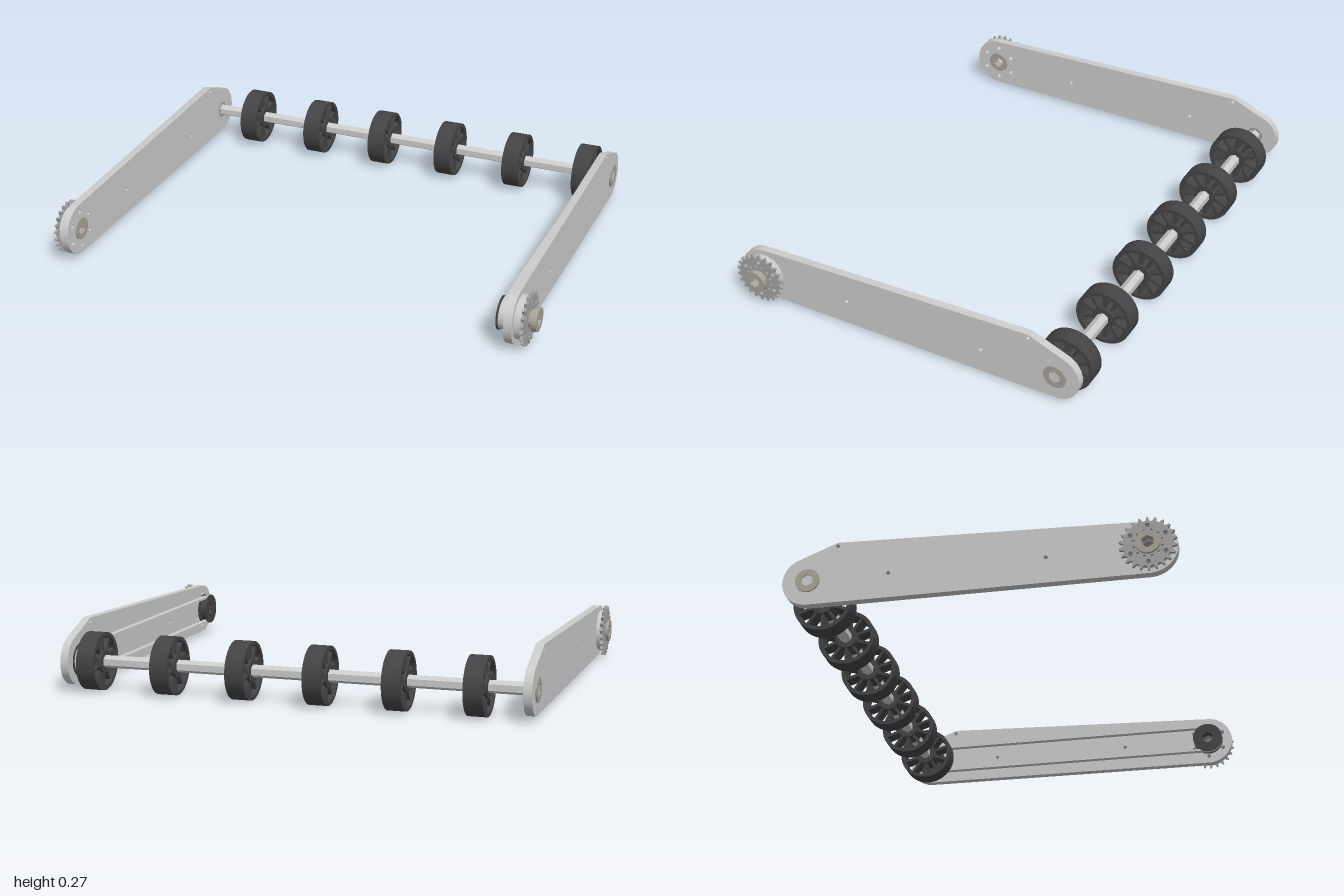
import * as THREE from 'three';
import { toCreasedNormals } from 'three/addons/utils/BufferGeometryUtils.js';

const CY = 0.12, FRONT_Z = 0.645, REAR_Z = -0.642, HEX_R = 0.025;
const mat = (color) => new THREE.MeshStandardMaterial({ color });

// circle, hexagon and hole helpers, drawn in the (z, y) plane
const disc = (r, x = 0, y = 0, Type = THREE.Shape) => new Type().absarc(x, y, r, 0, Math.PI * 2);
const hole = (r, x = 0, y = 0) => disc(r, x, y, THREE.Path);
function hexagon(r, Type = THREE.Shape, x = 0, y = 0) {
  const pts = [];
  for (let i = 0; i < 6; i++) {
    const a = (i + 0.5) * Math.PI / 3;
    pts.push(new THREE.Vector2(x + r * Math.cos(a), y + r * Math.sin(a)));
  }
  return new Type(pts);
}
function ringHoles(shape, n, r, size, x = 0, y = 0) {
  for (let i = 0; i < n; i++) {
    const a = (i + 0.5) * Math.PI * 2 / n;
    shape.holes.push(hole(size, x + r * Math.cos(a), y + r * Math.sin(a)));
  }
  return shape;
}

// extrude a (z, y) profile along x from x0 to x1
function slab(name, shape, x0, x1, material, z = 0, y = 0) {
  const raw = new THREE.ExtrudeGeometry(shape, { depth: x1 - x0, bevelEnabled: false, curveSegments: 20 });
  raw.rotateY(-Math.PI / 2);
  raw.translate(x1, y, z);
  const mesh = new THREE.Mesh(toCreasedNormals(raw, 0.5), material);
  mesh.name = name;
  return mesh;
}

function bored(r, bore = HEX_R) {
  const s = disc(r);
  s.holes.push(hexagon(bore, THREE.Path));
  return s;
}

// arm plate: round front end, rising top edge with a peak near the rear
function plateShape() {
  const s = new THREE.Shape();
  s.moveTo(-0.53, 0.27);
  s.lineTo(REAR_Z - 0.045, CY + 0.088);
  s.absarc(REAR_Z, CY, 0.099, Math.PI * 0.65, Math.PI * 1.5, false);
  s.absarc(FRONT_Z, CY, 0.106, Math.PI * 1.5, Math.PI * 2.5, false);
  s.closePath();
  for (const [z, y] of [[0.265, CY], [-0.33, CY], [-0.53, 0.255]]) s.holes.push(hole(0.008, z, y));
  s.holes.push(hole(0.035, FRONT_Z, CY), hole(0.035, REAR_Z, CY));
  return ringHoles(s, 6, 0.074, 0.009, FRONT_Z, CY);
}

function sprocketShape() {
  const teeth = 22, pts = [];
  for (let i = 0; i < teeth; i++) {
    for (const [f, r] of [[0, 0.09], [0.22, 0.092], [0.42, 0.107], [0.58, 0.107], [0.78, 0.092]]) {
      const a = (i + f) * Math.PI * 2 / teeth;
      pts.push(new THREE.Vector2(r * Math.cos(a), r * Math.sin(a)));
    }
  }
  const s = new THREE.Shape(pts);
  s.holes.push(hexagon(HEX_R, THREE.Path));
  ringHoles(s, 12, 0.054, 0.005);
  return ringHoles(s, 6, 0.074, 0.009);
}

// roller wheel: tyre, spokes and hub around the hex shaft
function wheel(x, rubber) {
  const g = new THREE.Group();
  g.name = 'rollerWheel';
  const half = 0.037, rim = disc(0.115);
  rim.holes.push(hole(0.1));
  g.add(slab('tyre', rim, -half, half, rubber));
  g.add(slab('wheelHub', bored(0.045), -half, half, rubber));
  for (let i = 0; i < 10; i++) {
    const a = i * Math.PI / 5;
    const spoke = new THREE.Mesh(new THREE.BoxGeometry(0.056, 0.062, 0.012), rubber);
    spoke.name = 'spoke';
    spoke.position.set(0, 0.072 * Math.cos(a), 0.072 * Math.sin(a));
    spoke.rotation.x = a;
    g.add(spoke);
  }
  g.position.set(x, CY, REAR_Z);
  return g;
}

// belt: stadium-shaped loop around both pulleys
function beltShape() {
  const loop = (r, Type) => {
    const p = new Type();
    p.absarc(REAR_Z, CY, r, Math.PI / 2, Math.PI * 1.5, false);
    p.absarc(FRONT_Z, CY, r, -Math.PI / 2, Math.PI / 2, false);
    p.closePath();
    return p;
  };
  const s = loop(0.06, THREE.Shape);
  s.holes.push(loop(0.051, THREE.Path));
  return s;
}

export function createModel() {
  const model = new THREE.Group();
  model.name = 'rollerIntake';
  const metal = mat(0xcccccc), steel = mat(0xa3a3a3), bronze = mat(0xa8a299), rubber = mat(0x444446);

  // two arms; side +1 is the left one
  const arms = [
    { name: 'leftArm', side: 1, inner: 0.893, outer: 0.925, spacer: 0.955, sprocket: 0.966 },
    { name: 'rightArm', side: -1, inner: 0.922, outer: 0.955, spacer: 0.973, sprocket: 0.985 },
  ];
  for (const a of arms) {
    const arm = new THREE.Group();
    arm.name = a.name;
    const add = (name, shape, from, to, m, z, y) => {
      const [x0, x1] = [a.side * from, a.side * to].sort((p, q) => p - q);
      arm.add(slab(name, shape, x0, x1, m, z, y));
    };
    add('armPlate', plateShape(), a.inner, a.outer, metal);
    add('sprocketSpacer', ringHoles(bored(0.085), 6, 0.074, 0.009), a.outer, a.spacer, metal, FRONT_Z, CY);
    add('sprocket', sprocketShape(), a.spacer, a.sprocket, steel, FRONT_Z, CY);
    const neck = a.sprocket + (1 - a.sprocket) * 0.4;
    add('hubNeck', bored(0.034), a.sprocket, neck, bronze, FRONT_Z, CY);
    add('hubFlange', bored(0.046), neck, 1, bronze, FRONT_Z, CY);
    // bearings: sleeve in the plate with a flange on its face
    add('frontBearing', bored(0.035), a.inner, a.outer, bronze, FRONT_Z, CY);
    add('frontBearingFlange', bored(0.045), a.inner - 0.005, a.inner, bronze, FRONT_Z, CY);
    add('rearBearing', bored(0.035), a.inner, a.outer, bronze, REAR_Z, CY);
    add('rearBearingFlange', bored(0.047), a.outer, a.outer + 0.006, bronze, REAR_Z, CY);
    model.add(arm);
  }

  // belt drive inside the left arm
  const drive = new THREE.Group();
  drive.name = 'beltDrive';
  drive.add(slab('belt', beltShape(), 0.858, 0.882, metal));
  for (const z of [FRONT_Z, REAR_Z]) {
    drive.add(slab('pulley', bored(0.051), 0.854, 0.888, rubber, z, CY));
    for (const x of [0.851, 0.883]) drive.add(slab('pulleyFlange', bored(0.065), x, x + 0.005, rubber, z, CY));
  }
  model.add(drive);

  // hex shaft with six wheels
  model.add(slab('rollerShaft', hexagon(HEX_R), -0.957, 0.929, metal, REAR_Z, CY));
  for (let i = 0; i < 6; i++) model.add(wheel(-0.737 + i * 0.31, rubber));

  return model;
}
